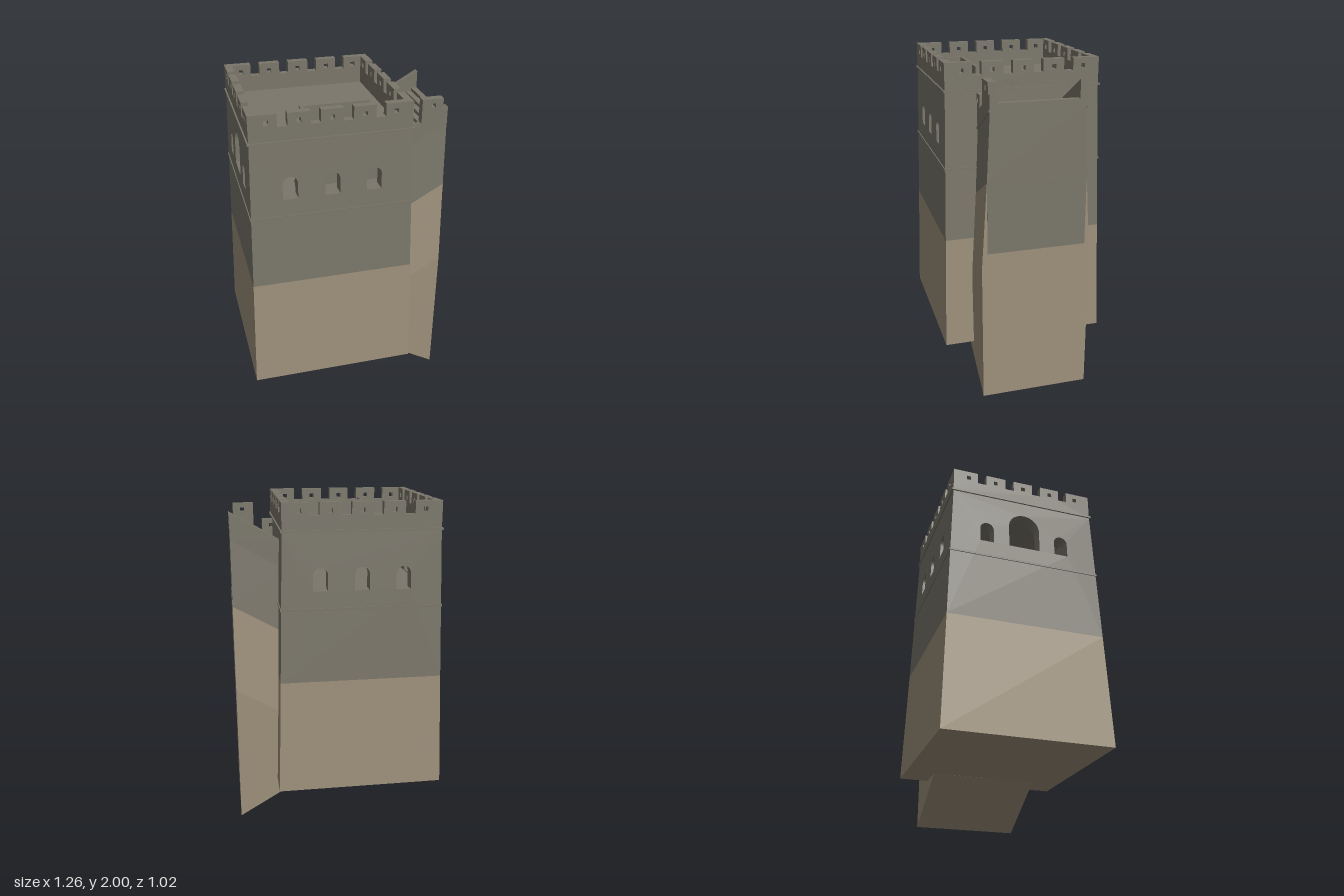
import * as THREE from 'three';

const stone = new THREE.MeshStandardMaterial({ color: 0x7a766a });
stone.name = 'grey stone';
const sand = new THREE.MeshStandardMaterial({ color: 0x9d907a });
sand.name = 'sand stone';

const CX = -0.122;            // tower axis
const BASE = 0.25, MID = 0.95, ROOM = 1.49, ROOF = 1.83, GAP = 1.927, TOP = 2;
const PARAPET = 0.462;        // half width of the parapet
const halfAt = y => (y >= ROOF ? PARAPET : 0.487 - (y - MID) / (ROOF - MID) * 0.025);
const rise = x => 0.565 * (x - 0.625);   // the side wall climbs away from the tower

function add(parent, name, geometry, material) {
  const mesh = new THREE.Mesh(geometry, material);
  mesh.name = name;
  parent.add(mesh);
  return mesh;
}

function polygon(points) {
  return new THREE.Shape(points.map(p => new THREE.Vector2(p[0], p[1])));
}

function rectHole(shape, x0, x1, y0, y1) {
  const p = new THREE.Path();
  p.moveTo(x0, y0).lineTo(x1, y0).lineTo(x1, y1).lineTo(x0, y1).closePath();
  shape.holes.push(p);
}

function archHole(shape, x, y0, y1, width) {
  const r = width / 2, p = new THREE.Path();
  p.moveTo(x - r, y0);
  p.lineTo(x + r, y0);
  p.lineTo(x + r, y1 - r);
  p.absarc(x, y1 - r, r, 0, Math.PI, false);
  p.closePath();
  shape.holes.push(p);
}

const extrude = (shape, depth) =>
  new THREE.ExtrudeGeometry(shape, { depth, bevelEnabled: false, curveSegments: 14 });

// Box between two corners
function box(parent, name, x0, x1, y0, y1, z0, z1, material) {
  const m = add(parent, name, new THREE.BoxGeometry(x1 - x0, y1 - y0, z1 - z0), material);
  m.position.set((x0 + x1) / 2, (y0 + y1) / 2, (z0 + z1) / 2);
}

// Box whose bottom and top follow rules: x -> [y, zMin, zMax]
function block(parent, name, x0, x1, low, high, material) {
  const g = new THREE.BoxGeometry(1, 1, 1), p = g.attributes.position;
  for (let i = 0; i < p.count; i++) {
    const x = p.getX(i) < 0 ? x0 : x1;
    const [y, z0, z1] = (p.getY(i) < 0 ? low : high)(x);
    p.setXYZ(i, x, y, p.getZ(i) < 0 ? z0 : z1);
  }
  g.computeVertexNormals();
  return add(parent, name, g, material);
}

// Leaning tower wall with mitred corners, facing the given angle
function side(parent, name, shape, depth, angle) {
  const g = extrude(shape, depth), p = g.attributes.position;
  for (let i = 0; i < p.count; i++) {
    const u = p.getX(i), d = depth - p.getZ(i);
    if (Math.abs(u) > 0.4) p.setX(i, u - Math.sign(u) * d);
    p.setZ(i, halfAt(p.getY(i)) - d);
  }
  g.computeVertexNormals();
  add(parent, name, g, stone).rotation.y = angle;
}

// Horizontal square slab, optionally with a rectangular opening (x0, x1, z0, z1)
function slab(parent, name, half, y0, y1, opening) {
  const s = polygon([[-half, -half], [half, -half], [half, half], [-half, half]]);
  if (opening) rectHole(s, opening[0], opening[1], -opening[3], -opening[2]);
  const m = add(parent, name, extrude(s, y1 - y0), stone);
  m.rotation.x = -Math.PI / 2;
  m.position.y = y0;
}

function upperWall(kind) {
  const a = halfAt(MID), b = halfAt(ROOF);
  const s = polygon([[-a, MID], [a, MID], [b, ROOF], [-b, ROOF]]);
  if (kind !== 'plain') {
    for (const x of [-0.244, 0.244]) archHole(s, x, 1.495, 1.63, 0.087);
    if (kind === 'door') archHole(s, 0, 1.495, 1.74, 0.2);
    else archHole(s, 0, 1.495, 1.63, 0.087);
  }
  return s;
}

function crenellation() {
  const pts = [[-PARAPET, ROOF], [PARAPET, ROOF], [PARAPET, TOP]];
  // gaps between the merlons, from right to left
  for (const [r, l] of [[0.303, 0.247], [0.12, 0.063], [-0.063, -0.12], [-0.247, -0.303]])
    pts.push([r, TOP], [r, GAP], [l, GAP], [l, TOP]);
  pts.push([-PARAPET, TOP]);
  const s = polygon(pts);
  for (const x of [-0.363, -0.185, 0, 0.185, 0.363]) rectHole(s, x - 0.013, x + 0.013, 1.94, 1.967);
  return s;
}

function buildTower() {
  const tower = new THREE.Group();
  tower.name = 'tower';
  tower.position.x = CX;

  // Tapered base
  const base = new THREE.CylinderGeometry(halfAt(MID) * Math.SQRT2, 0.508 * Math.SQRT2, MID - BASE, 4, 1)
    .rotateY(Math.PI / 4).toNonIndexed();
  base.computeVertexNormals();
  add(tower, 'towerBase', base, sand).position.y = (BASE + MID) / 2;

  // Upper walls and battlements
  ['windows', 'plain', 'windows', 'door'].forEach((kind, i) => {
    side(tower, 'upperWall', upperWall(kind), 0.08, i * Math.PI / 2);
    side(tower, 'battlement', crenellation(), 0.045, i * Math.PI / 2);
  });

  // Floors and string courses
  const hatch = [-0.235 - CX, 0.205 - CX, 0.24, 0.335];
  slab(tower, 'roomFloor', 0.42, ROOM - 0.03, ROOM);
  slab(tower, 'roofFloor', 0.45, ROOF - 0.03, ROOF, hatch);
  slab(tower, 'lowerCourse', 0.48, 1.383, 1.395, [-0.45, 0.45, -0.45, 0.45]);
  slab(tower, 'upperCourse', 0.471, 1.834, 1.846, [-0.43, 0.43, -0.43, 0.43]);
  return tower;
}

function buildStair() {
  const stair = new THREE.Group();
  stair.name = 'roofStair';
  // Solid flight from the room to the roof
  const n = 19, run = 0.51 / n, step = (ROOF - ROOM) / n;
  for (let i = 0; i < n; i++)
    box(stair, 'stairStep', -0.3 + i * run, -0.3 + (i + 1) * run, ROOM, ROOM + (i + 1) * step - 0.002, 0.241, 0.334, stone);
  // Low guard walls round the hatch
  box(stair, 'guardWall', -0.235, 0.16, ROOF, 1.945, 0.22, 0.24, stone);
  box(stair, 'guardEnd', -0.255, -0.235, ROOF, 1.945, 0.22, 0.335, stone);
  return stair;
}

function buildSideWall() {
  const wall = new THREE.Group();
  wall.name = 'sideWall';
  const END = 0.625;
  const level = (y, half) => x => [y + rise(x), -half, half];

  // Foot with a sloping underside, then the battered body
  block(wall, 'wallFoot', 0.2, END, x => [(END - x) * 0.588, -0.33, 0.33], level(0.86, 0.33), sand);
  block(wall, 'wallBody', 0.2, END, level(0.86, 0.33), level(1.38, 0.296), sand);
  block(wall, 'wallUpper', 0.3, END, level(1.38, 0.296), level(1.795, 0.275), stone);
  block(wall, 'wallCourse', 0.33, END, level(1.775, 0.284), level(1.787, 0.284), stone);
  box(wall, 'endFacing', END, END + 0.002, MID, 1.381, -0.296, 0.296, stone);

  // Climbing steps of the walkway
  const n = 8, run = (END - 0.335) / n;
  for (let i = 0; i < n; i++) {
    const x0 = 0.335 + i * run, y = 1.82 + rise(x0 + run);
    box(wall, 'walkStep', x0, x0 + run, y - 0.045, y, -0.245, 0.235, stone);
  }

  // Plain parapet at the back
  block(wall, 'backParapet', 0.32, END, x => [1.77 + rise(x), -0.278, -0.24],
    x => [1.93 + rise(x), -0.278, -0.24], stone);

  // Stepped merlons at the front
  const s = polygon([[0.32, 1.6], [END, 1.77], [END, 1.875], [0.595, 1.858], [0.595, 1.93], [0.465, 1.93],
    [0.465, 1.785], [0.41, 1.754], [0.41, 1.826], [0.32, 1.826]]);
  rectHole(s, 0.343, 0.366, 1.772, 1.798);
  rectHole(s, 0.522, 0.548, 1.877, 1.903);
  add(wall, 'frontParapet', extrude(s, 0.048), stone).position.z = 0.23;
  return wall;
}

export function createModel() {
  const model = new THREE.Group();
  model.name = 'castleTower';
  model.add(buildTower(), buildStair(), buildSideWall());
  return model;
}
